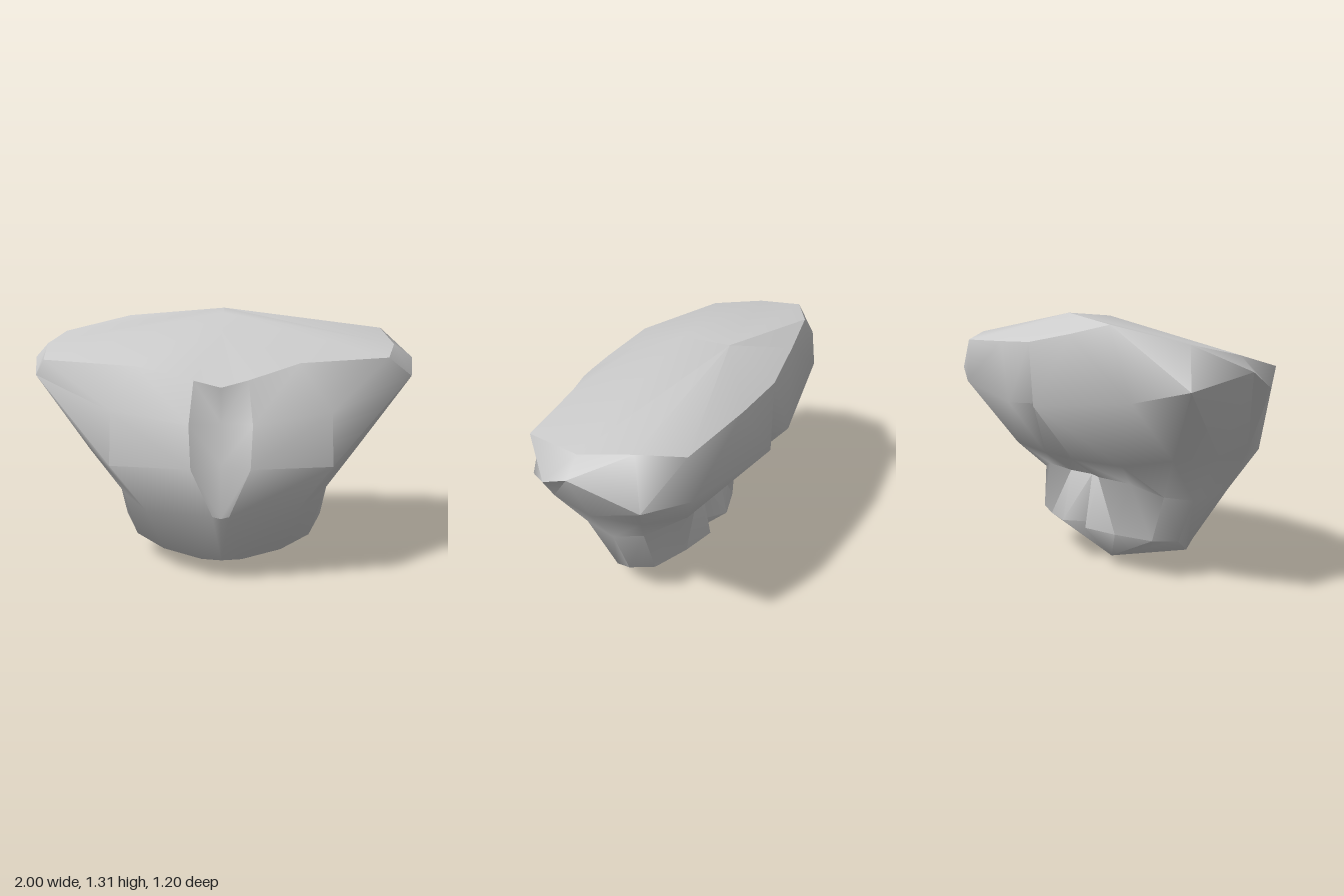
import * as THREE from 'three';
import { toCreasedNormals } from 'three/addons/utils/BufferGeometryUtils.js';

// Each section runs from the front centre, around the left side, to the back centre.
const low = [0, 0.01, 0.18], lowBack = [0, 0, -0.04];
const neck = [0, 1.21, 0.17], crown = [0, 1.295, -0.05], crownBack = [0, 1.31, -0.31];

const base = [low, low, low, lowBack, lowBack, lowBack, lowBack, lowBack, lowBack];
const hips = [[0, 0.1, 0.44], [0.1, 0.1, 0.42], [0.3, 0.105, 0.28], [0.46, 0.12, 0.08], [0.53, 0.2, -0.04],
  [0.47, 0.21, -0.16], [0.28, 0.215, -0.24], [0.1, 0.22, -0.29], [0, 0.22, -0.21]];
const waist = [[0, 0.35, 0.56], [0.04, 0.36, 0.56], [0.36, 0.36, 0.48], [0.51, 0.39, 0.22], [0.56, 0.4, 0.03],
  [0.51, 0.43, -0.12], [0.35, 0.48, -0.2], [0.12, 0.48, -0.22], [0, 0.47, -0.17]];
const ribs = [[0, 0.6, 0.53], [0.14, 0.6, 0.6], [0.53, 0.6, 0.53], [0.66, 0.63, 0.3], [0.71, 0.63, 0.05],
  [0.66, 0.64, -0.2], [0.46, 0.6, -0.34], [0.12, 0.59, -0.38], [0, 0.58, -0.33]];
const chest = [[0, 0.8, 0.5], [0.15, 0.8, 0.56], [0.53, 0.85, 0.46], [0.97, 0.98, 0.1], [1, 1.06, -0.05],
  [0.97, 0.99, -0.39], [0.72, 0.93, -0.5], [0.11, 0.87, -0.6], [0, 0.87, -0.53]];
// The rim of the shoulders differs slightly between the sides.
const rimLeft = [[0, 0.97, 0.5], [0.13, 1.0, 0.46], [0.38, 1.07, 0.35], [0.82, 1.09, 0.27], [0.9, 1.13, -0.04],
  [0.87, 1.2, -0.31], [0.73, 1.16, -0.48], [0.3, 1.165, -0.53], [0, 1.17, -0.55]];
const rimRight = [[0, 0.97, 0.5], [0.13, 1.0, 0.475], [0.41, 1.06, 0.41], [0.9, 1.07, 0.21], [0.94, 1.13, -0.07],
  [0.89, 1.18, -0.32], [0.55, 1.26, -0.48], [0.3, 1.215, -0.515], [0, 1.17, -0.55]];
const top = [neck, neck, neck, crown, crown, crownBack, crownBack, crownBack, crownBack];

// Closes a half section with its mirrored other side.
function ring(left, right = left) {
  return [...left, ...right.slice(1, -1).reverse().map(([x, y, z]) => [-x, y, z])];
}

// Skins the kept cells between neighbouring rings, leaving out collapsed triangles.
function loft(rings, crease, keep = () => true) {
  const positions = [];
  const same = (p, q) => p.every((v, k) => v === q[k]);
  const tri = (a, b, c) => {
    if (!same(a, b) && !same(b, c) && !same(c, a)) positions.push(...a, ...b, ...c);
  };
  for (let r = 0; r < rings.length - 1; r++) {
    const lower = rings[r], upper = rings[r + 1], n = lower.length;
    for (let i = 0; i < n; i++) {
      if (!keep(r, i)) continue;
      const j = (i + 1) % n;
      const a = lower[i], b = lower[j], c = upper[j], d = upper[i];
      // Diagonals are mirrored across the middle.
      if (i < n / 2) { tri(a, b, c); tri(a, c, d); }
      else { tri(a, b, d); tri(b, c, d); }
    }
  }
  const geometry = new THREE.BufferGeometry();
  geometry.setAttribute('position', new THREE.Float32BufferAttribute(positions, 3));
  return toCreasedNormals(geometry, crease);
}

export function createModel() {
  const group = new THREE.Group();
  group.name = 'torsoModel';
  const material = new THREE.MeshStandardMaterial({ color: 0xcccccc });
  const add = (name, geometry) => {
    const mesh = new THREE.Mesh(geometry, material);
    mesh.name = name;
    group.add(mesh);
  };
  const rim = ring(rimLeft, rimRight);
  const rings = [ring(base), ring(hips), ring(waist), ring(ribs), ring(chest), rim];
  const inGroove = (r, i) => r >= 2 && (i === 0 || i === rim.length - 1);

  // Smooth body, with a crisp groove down the middle of the chest
  add('torso', loft(rings, 1.15, (r, i) => !inGroove(r, i)));
  add('chestGroove', loft(rings, 1.15, inGroove));
  // Cap over the shoulders, meeting the body in a sharp rim
  add('shoulderTop', loft([rim, ring(top)], 0.6));
  return group;
}
